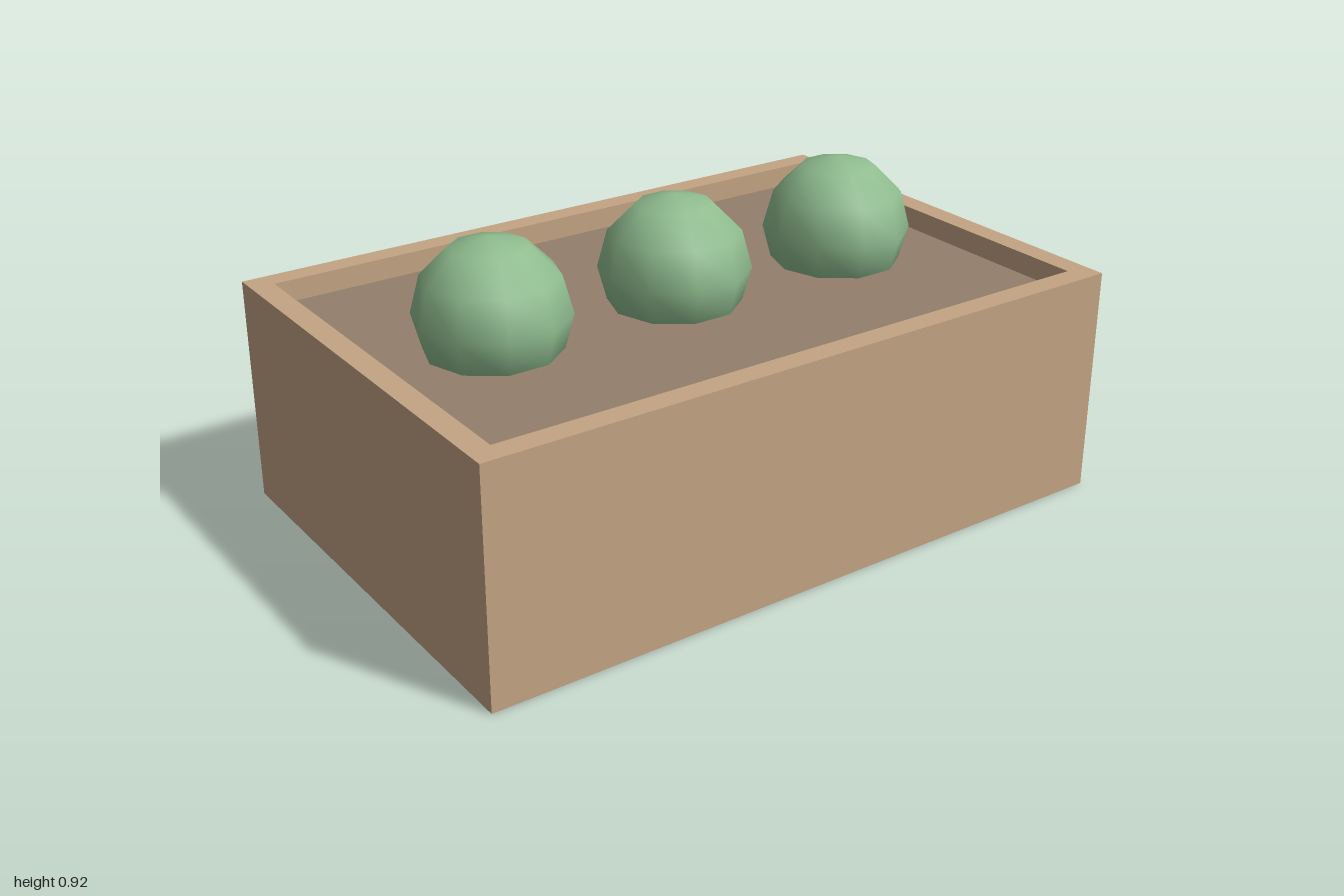
import * as THREE from 'three';

const W = 2, D = 1.333, H = 0.667, WALL = 0.067;

function rectangle(target, w, d) {
  target.moveTo(-w / 2, -d / 2);
  target.lineTo(w / 2, -d / 2);
  target.lineTo(w / 2, d / 2);
  target.lineTo(-w / 2, d / 2);
  target.closePath();
  return target;
}

export function createModel() {
  const group = new THREE.Group();
  group.name = 'planterBox';

  const add = (name, geometry, color, x, y) => {
    const mesh = new THREE.Mesh(geometry, new THREE.MeshStandardMaterial({ color }));
    mesh.name = name;
    mesh.position.set(x, y, 0);
    group.add(mesh);
  };

  // Four-sided frame, open at top and bottom
  const outline = rectangle(new THREE.Shape(), W, D);
  outline.holes.push(rectangle(new THREE.Path(), W - 2 * WALL, D - 2 * WALL));
  const frame = new THREE.ExtrudeGeometry(outline, { depth: H, bevelEnabled: false });
  frame.rotateX(-Math.PI / 2);
  add('frame', frame, 0xc4a484, 0, 0);

  // Thin soil slab set just below the rim
  const soilTop = 0.603, soilBottom = 0.565;
  add('soil', new THREE.BoxGeometry(W - 2 * WALL, soilTop - soilBottom, D - 2 * WALL),
    0x947f6b, 0, (soilTop + soilBottom) / 2);

  // Three round plants in a row, sunk into the soil
  ['rightPlant', 'middlePlant', 'leftPlant'].forEach((name, i) =>
    add(name, new THREE.SphereGeometry(0.216, 10, 6), 0x8fbc8f, (i - 1) * 0.583, 0.7));

  return group;
}
